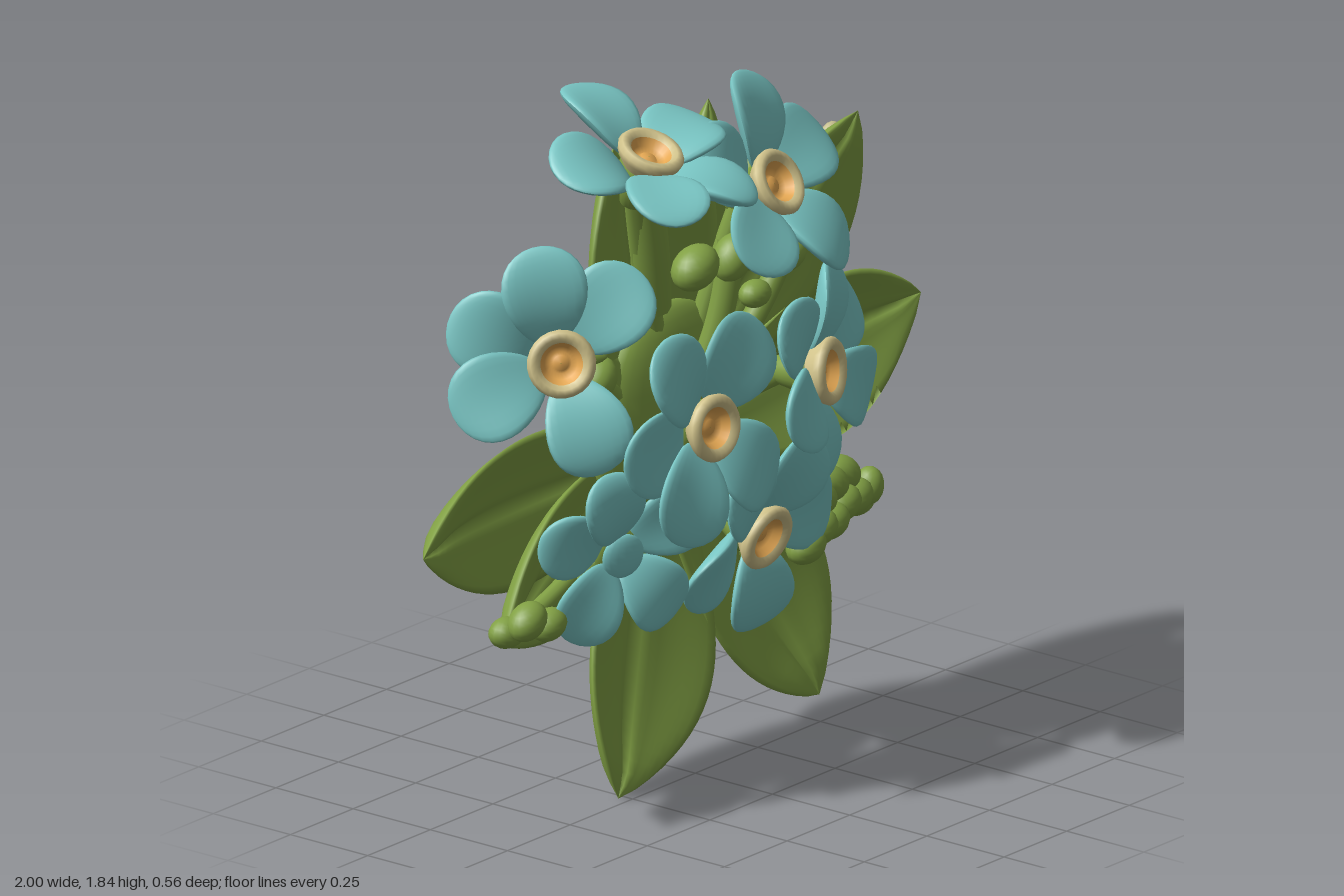
import * as THREE from 'three';

const mat = (name, color, side = THREE.FrontSide) => {
  const m = new THREE.MeshStandardMaterial({ color, side });
  m.name = name;
  return m;
};
const green = mat('leaf green', 0x81a044);
const blue = mat('petal blue', 0x7ac7c5);
const tan = mat('seed tan', 0xc2bb8c);
const gold = mat('rim gold', 0xd2c48c, THREE.DoubleSide);
const orange = mat('throat orange', 0xe5a853, THREE.DoubleSide);

const V = (x, y, z) => new THREE.Vector3(x, y, z);
const HUB = V(0.1, 0.81, -0.212);

function add(parent, name, geometry, material) {
  const mesh = new THREE.Mesh(geometry, material);
  mesh.name = name;
  parent.add(mesh);
  return mesh;
}

// Pointed, cupped leaf lofted from closed cross-sections running hub to tip.
// peak moves the widest part outward, bow bends it sideways, lift sets how late it curls forward.
function leafGeometry({ tip, half, cup, lift, peak = 1.4, bow = 0 }) {
  const rows = 26, n = 18, ring = 2 * n, pos = [], idx = [];
  const along = V(tip.x - HUB.x, tip.y - HUB.y, 0).normalize();
  const across = V(along.y, -along.x, 0);
  for (let i = 0; i <= rows; i++) {
    const t = i / rows;
    const w = half * Math.pow(Math.max(0, Math.sin(Math.PI * (0.1 + 0.9 * Math.pow(t, peak)))), 0.85);
    const fade = Math.min(1, w / (half * 0.4));
    for (let j = 0; j < ring; j++) {
      const front = j < n;
      const v = front ? -1 + 2 * j / n : 1 - 2 * (j - n) / n;
      const rib = Math.exp(-Math.pow(v / 0.09, 2));
      const skin = (1 - Math.pow(v, 4)) * fade;
      const p = HUB.clone().lerp(tip, t).addScaledVector(across, w * v + bow * Math.sin(Math.PI * t));
      p.z = THREE.MathUtils.lerp(HUB.z, tip.z, Math.pow(t, lift)) + cup * w * v * v;
      p.z += front ? skin * (0.03 - 0.022 * rib) : -skin * 0.024;
      pos.push(p.x, p.y, p.z);
    }
  }
  for (let i = 0; i < rows; i++) for (let j = 0; j < ring; j++) {
    const a = i * ring + j, b = i * ring + (j + 1) % ring;
    idx.push(a, b, a + ring, b, b + ring, a + ring);
  }
  const g = new THREE.BufferGeometry();
  g.setAttribute('position', new THREE.Float32BufferAttribute(pos, 3));
  g.setIndex(idx);
  g.computeVertexNormals();
  return g;
}

// Rounded petal: a flat ellipsoid, wider at its outer end and gently curled
function petalGeometry(length, width) {
  const g = new THREE.SphereGeometry(1, 22, 16);
  const p = g.attributes.position;
  for (let i = 0; i < p.count; i++) {
    const x = p.getX(i), y = p.getY(i), z = p.getZ(i);
    p.setXYZ(i, x * width * (1 + 0.22 * y), y * length,
      z * 0.028 + 0.025 * x * x - 0.015 * y * y + 0.008 * y);
  }
  g.computeVertexNormals();
  return g;
}

const lathe = (pts) => new THREE.LatheGeometry(pts.map(([r, y]) => new THREE.Vector2(r, y)), 24).rotateX(Math.PI / 2);
const rimGeometry = lathe([[0.06, -0.02], [0.084, 0.012], [0.088, 0.028], [0.08, 0.04], [0.066, 0.041], [0.054, 0.03]]);
const throatGeometry = lathe([[0.054, 0.03], [0.042, 0.01], [0.028, -0.002], [0.02, 0.008], [0.001, 0.01]]);
const calyxGeometry = lathe([[0.001, -0.15], [0.028, -0.14], [0.045, -0.09], [0.066, -0.03], [0.05, -0.01], [0.001, -0.01]]);

function stem(parent, from, to, bend, radius) {
  const mid = from.clone().lerp(to, 0.5).add(bend);
  const curve = new THREE.QuadraticBezierCurve3(from, mid, to);
  add(parent, 'stem', new THREE.TubeGeometry(curve, 14, radius, 10), green);
}

function flower(parent, { at, facing, angles, size = 1, open = true }) {
  const g = new THREE.Group();
  g.name = 'flower';
  const normal = V(...facing).normalize();
  g.position.set(...at);
  g.quaternion.setFromUnitVectors(V(0, 0, 1), normal);
  angles.forEach((deg, i) => {
    const arm = new THREE.Group();
    arm.name = 'petalArm';
    arm.rotation.z = THREE.MathUtils.degToRad(deg - 90);
    const petal = add(arm, 'petal', petalGeometry(0.125 * size, 0.104 * size), blue);
    petal.position.set(0, 0.165 * size, i % 2 ? 0.014 : -0.01);
    petal.rotation.set(0.1, i % 2 ? 0.14 : -0.14, 0);
    g.add(arm);
  });
  if (open) {
    add(g, 'flowerRim', rimGeometry, gold);
    add(g, 'flowerThroat', throatGeometry, orange);
  } else {
    add(g, 'flowerHeart', new THREE.SphereGeometry(0.06, 16, 12), blue).scale.z = 0.3;
  }
  // Calyx cup with small sepals against the petals
  add(g, 'calyx', calyxGeometry, green);
  for (let i = 0; i < 5; i++) {
    const a = i * Math.PI * 0.4;
    const sepal = add(g, 'sepal', new THREE.SphereGeometry(1, 10, 8), green);
    sepal.scale.set(0.06, 0.024, 0.016);
    sepal.position.set(0.065 * Math.cos(a), 0.065 * Math.sin(a), -0.045);
    sepal.rotation.z = a;
  }
  parent.add(g);
  const end = g.position.clone().addScaledVector(normal, -0.1);
  stem(parent, V(HUB.x, HUB.y + 0.05, -0.15), end, V(0, 0, -0.03), 0.03);
}

function bud(parent, [x, y, z, r, turn = 0]) {
  const b = add(parent, 'bud', new THREE.SphereGeometry(r, 16, 12), green);
  b.position.set(x, y, z);
  b.scale.set(1.2, 0.9, 0.95);
  b.rotation.z = turn;
}

export function createModel() {
  const model = new THREE.Group();
  model.name = 'flowerBouquet';

  // Leaves
  [
    { tip: V(-1.0, 0.84, -0.07), half: 0.2, cup: 0.4, lift: 4.5 },
    { tip: V(1.0, 1.0, -0.08), half: 0.22, cup: 0.55, lift: 4.5, peak: 1.5 },
    { tip: V(0.65, 1.6, 0.0), half: 0.2, cup: 0.4, lift: 1.8, peak: 1.5 },
    { tip: V(0.2, 1.73, -0.12), half: 0.11, cup: 0.4, lift: 1.3 },
    { tip: V(-0.19, 1.71, -0.11), half: 0.26, cup: 0.35, lift: 1.3, peak: 1.8 },
    { tip: V(-0.27, 0.01, -0.03), half: 0.265, cup: 0.35, lift: 2.4, bow: -0.04 },
    { tip: V(0.57, 0.05, -0.06), half: 0.215, cup: 0.4, lift: 2.6, bow: -0.03 },
    { tip: V(-0.72, 0.54, -0.04), half: 0.17, cup: 0.4, lift: 2.8, peak: 1.3 },
  ].forEach((leaf) => add(model, 'leaf', leafGeometry(leaf), green));

  // Pale spot on the upper edge of the right-hand leaf
  const spot = add(model, 'paleSpot', new THREE.SphereGeometry(0.035, 12, 8), tan);
  spot.position.set(0.605, 1.53, -0.055);
  spot.scale.set(0.8, 1.2, 0.8);
  spot.rotation.z = -0.6;

  // Green core that carries the stems
  const core = add(model, 'core', new THREE.SphereGeometry(1, 28, 18), green);
  core.position.set(0.04, 0.93, -0.13);
  core.scale.set(0.28, 0.3, 0.08);

  // Broad leafy stalk running behind the left flower
  const stalk = add(model, 'broadStalk', new THREE.CylinderGeometry(0.06, 0.14, 0.62, 16), green);
  stalk.position.set(-0.18, 1.05, -0.145);
  stalk.scale.z = 0.5;
  stalk.rotation.z = 0.9;

  // Seed cluster on the back, set out in a spiral
  for (let i = 0; i < 28; i++) {
    const r = 0.034 * Math.sqrt(i), a = i * 2.4;
    const seed = add(model, 'seed', new THREE.SphereGeometry(0.044, 12, 8), tan);
    seed.position.set(0.1 + r * Math.cos(a), 0.82 + r * Math.sin(a) * 1.1, -0.232 + r * 0.06);
    seed.scale.set(0.85, 1.05, 0.6);
    seed.rotation.z = a * 0.3;
  }

  // Flowers
  [
    { at: [-0.21, 1.04, 0.21], facing: [-0.05, 0.1, 1], angles: [48, 128, 185, 238, 315], size: 1.08 },
    { at: [0.34, 1.02, 0.13], facing: [0.3, 0.1, 0.95], angles: [35, 75, 135, 198, 262, 332], size: 0.98 },
    { at: [0.23, 1.53, 0.06], facing: [0.1, 0.5, 0.85], angles: [18, 80, 148, 215, 305], size: 1.04 },
    { at: [-0.19, 1.7, 0.0], facing: [0, 0.9, 0.4], angles: [12, 88, 165, 235, 305], size: 1.02 },
    { at: [-0.55, 1.26, 0.01], facing: [-0.7, 0.2, 0.68], angles: [42, 98, 150, 200, 285], size: 1.05 },
    { at: [0.06, 0.67, 0.16], facing: [0, -0.25, 0.95], angles: [55, 130, 205, 278, 5], size: 0.98 },
    { at: [-0.4, 0.72, 0.09], facing: [-0.35, -0.1, 0.9], angles: [30, 110, 160, 230, 310], size: 0.88, open: false },
  ].forEach((f) => flower(model, f));

  // Bud sprays on curved stalks
  stem(model, V(0.12, 0.7, 0.0), V(0.74, 0.55, -0.06), V(0.05, 0.02, 0.08), 0.025);
  for (let i = 0; i < 5; i++) {
    const x = 0.27 + i * 0.09, z = 0.14 - i * 0.035;
    bud(model, [x, 0.575 + (i % 2) * 0.015, z, 0.05, 0.3]);
    if (i < 4) bud(model, [x + 0.05, 0.65 - Math.pow(i - 2, 2) * 0.006, z - 0.05, 0.055, -0.3]);
  }
  [
    [0.71, 0.54, -0.07, 0.058, -0.4], [0.73, 0.57, -0.03, 0.042, 1.4],
    [-0.67, 0.6, 0.0, 0.05, 0.5], [-0.69, 0.565, -0.05, 0.045, 0], [-0.61, 0.58, 0.02, 0.045, 0.3],
    [0.0, 1.36, 0.0, 0.06, 0.4], [0.1, 1.37, 0.04, 0.055, 0.9], [0.21, 1.36, 0.02, 0.055, 0.6],
    [0.14, 1.27, 0.08, 0.04, 0], [0.34, 1.31, 0.02, 0.05, 0.3], [-0.42, 1.18, 0.02, 0.055, 0.8],
  ].forEach((b) => bud(model, b));
  stem(model, V(-0.3, 0.68, -0.08), V(-0.66, 0.59, -0.02), V(0, 0, 0.02), 0.025);
  stem(model, V(0.08, 1.0, -0.07), V(0.14, 1.4, 0.0), V(0.02, 0, 0.04), 0.035);
  stem(model, V(0.15, 1.0, -0.07), V(0.36, 1.32, 0.0), V(0.02, 0, 0.03), 0.03);
  stem(model, V(-0.05, 1.25, -0.1), V(-0.16, 1.64, -0.05), V(0, 0, 0.02), 0.05);

  return model;
}
